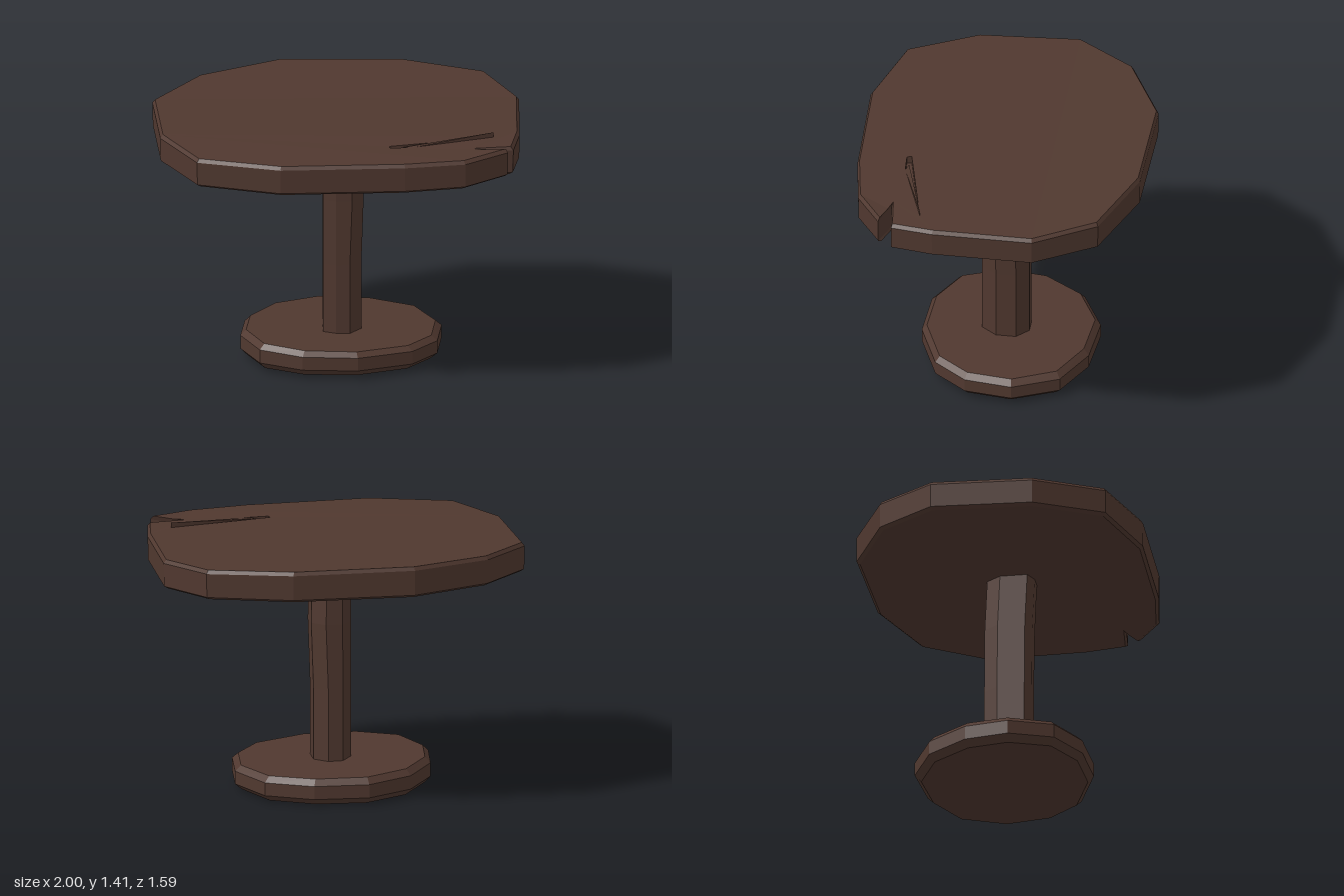
import * as THREE from 'three';

const wood = new THREE.MeshStandardMaterial({ color: 0x50382f });
wood.name = 'dark wood';

// Collects flat-shaded triangles
class Facets {
  constructor() { this.pos = []; }
  tri(a, b, c) { this.pos.push(...a, ...b, ...c); }
  // Rings run clockwise seen from above, lower ring first
  skin(lower, upper) {
    lower.forEach((p, i) => {
      const j = (i + 1) % lower.length;
      this.tri(lower[j], p, upper[i]);
      this.tri(lower[j], upper[i], upper[j]);
    });
  }
  walls(rings) {
    for (let i = 1; i < rings.length; i++) this.skin(rings[i - 1], rings[i]);
  }
  cap(ring, up, hole = []) {
    const flat = (r) => r.map((p) => new THREE.Vector2(p[0], p[2]));
    const all = [...ring, ...hole];
    for (const [i, j, k] of THREE.ShapeUtils.triangulateShape(flat(ring), hole.length ? [flat(hole)] : [])) {
      const [a, b, c] = [all[i], all[j], all[k]];
      const ny = (b[2] - a[2]) * (c[0] - a[0]) - (b[0] - a[0]) * (c[2] - a[2]);
      if ((ny > 0) === up) this.tri(a, b, c);
      else this.tri(a, c, b);
    }
  }
  loft(rings) {
    this.walls(rings);
    this.cap(rings[0], false);
    this.cap(rings[rings.length - 1], true);
  }
  mesh(name) {
    const g = new THREE.BufferGeometry();
    g.setAttribute('position', new THREE.Float32BufferAttribute(this.pos, 3));
    g.computeVertexNormals();
    const m = new THREE.Mesh(g, wood);
    m.name = name;
    return m;
  }
}

// Warped slab with a split edge and a crack
function makeTop() {
  const outline = [
    [-0.3, -0.79], [0.37, -0.78], [0.82, -0.61], [0.995, -0.27], [0.985, 0.28], [0.945, 0.51],
    [0.73, 0.535], [0.8, 0.555], [0.915, 0.585, 0.015], [0.68, 0.725], [0.35, 0.775],
    [-0.33, 0.795], [-0.78, 0.66], [-0.97, 0.285], [-1, -0.27], [-0.74, -0.59],
  ];
  const backLift = (z) => Math.max(0, -z - 0.27) * 0.07;
  const topY = (x, z) => 1.374 + backLift(z) - (z > 0.3 ? 0.004 : 0);
  const botY = (x, z) => 1.198 + backLift(z) + Math.abs(x) * 0.012;
  const ring = (s, fy, dy) => outline.map(([x, z, lift = 0]) => [x * s, fy(x, z) + dy + lift, z * s]);

  const crack = [[0.27, 1.371, 0.487], [0.84, 1.374, 0.365], [0.4, 1.371, 0.505], [0.275, 1.371, 0.513]];
  const floor = crack.map(([x, y, z]) => [x, y - 0.04, z]);

  const f = new Facets();
  const rings = [ring(0.975, botY, 0), ring(0.997, botY, 0.014), ring(1, topY, -0.02), ring(0.985, topY, 0)];
  f.walls(rings);
  // Faces in three bands: raised back, flat middle, front with the crack
  const bands = [[14, 15, 0, 1, 2, 3], [3, 4, 13, 14], [4, 5, 6, 7, 8, 9, 10, 11, 12, 13]];
  bands.forEach((band, n) => {
    f.cap(band.map((i) => rings[0][i]), false);
    f.cap(band.map((i) => rings[3][i]), true, n === 2 ? crack : []);
  });
  f.skin([...floor].reverse(), [...crack].reverse());
  f.cap(floor, true);
  return f.mesh('tabletop');
}

// Sliver of wood lifting out of the crack
function makeSplinter() {
  const upper = [[0.34, 1.366, 0.492], [0.84, 1.402, 0.365], [0.4, 1.37, 0.505]];
  const f = new Facets();
  f.loft([upper.map(([x, y, z]) => [x, y - 0.034, z]), upper]);
  return f.mesh('splinter');
}

// Slightly crooked eight-sided post
function makePost() {
  const section = [
    [-0.02, -0.13], [0.06, -0.13], [0.13, -0.065], [0.13, 0.045],
    [0.065, 0.13], [-0.01, 0.13], [-0.08, 0.1], [-0.08, -0.05],
  ];
  const levels = [[0.1, 0, 0], [0.55, 0, 0], [0.92, 0.012, 0.003], [1.25, 0.002, 0.018]];
  const f = new Facets();
  f.loft(levels.map(([y, dx, dz]) => section.map(([x, z]) => [x + (x > 0 ? dx : 0), y, z + dz])));
  return f.mesh('post');
}

// Bevelled, uneven foot disc
function makeFoot() {
  const outline = [
    [-0.1, -0.5], [0.2, -0.475], [0.45, -0.35], [0.57, -0.1], [0.54, 0.16], [0.4, 0.34],
    [0.1, 0.455], [-0.2, 0.44], [-0.43, 0.32], [-0.53, 0.08], [-0.5, -0.16], [-0.35, -0.38],
  ];
  const ring = (s, y, tilt, lean) => outline.map(([x, z]) => [x * s, y + tilt * z - lean * x, z * s]);
  const f = new Facets();
  f.loft([
    ring(0.93, 0.012, 0.02, 0.004), ring(1, 0.048, 0.02, 0.008),
    ring(1, 0.122, 0.02, 0.012), ring(0.94, 0.153, 0.012, 0.014),
  ]);
  return f.mesh('foot');
}

export function createModel() {
  const table = new THREE.Group();
  table.name = 'table';
  table.add(makeTop(), makeSplinter(), makePost(), makeFoot());
  return table;
}
